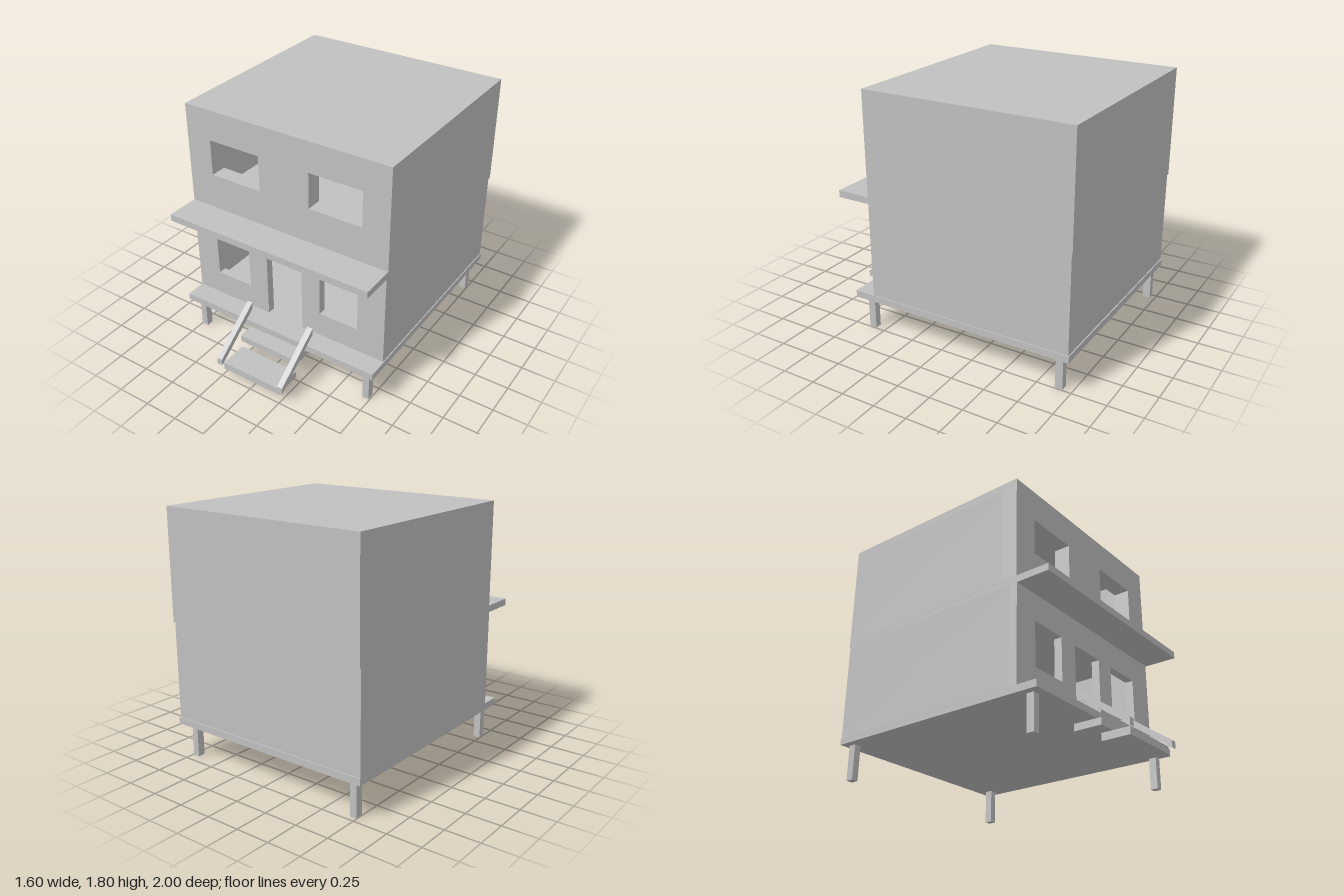
import * as THREE from 'three';

export function createModel() {
  const house = new THREE.Group();
  house.name = 'stiltHouse';
  const grey = new THREE.MeshStandardMaterial({ color: 0xc0c0c0 });
  grey.name = 'plain grey';

  const add = (name, geometry) => {
    const mesh = new THREE.Mesh(geometry, grey);
    mesh.name = name;
    house.add(mesh);
    return mesh;
  };

  // Box given by its limits on each axis
  const block = (name, x0, x1, y0, y1, z0, z1) =>
    add(name, new THREE.BoxGeometry(x1 - x0, y1 - y0, z1 - z0))
      .position.set((x0 + x1) / 2, (y0 + y1) / 2, (z0 + z1) / 2);

  const rectangle = (target, x0, x1, y0, y1) =>
    target.moveTo(x0, y0).lineTo(x1, y0).lineTo(x1, y1).lineTo(x0, y1).closePath();

  const extrude = (shape, depth) =>
    new THREE.ExtrudeGeometry(shape, { depth, bevelEnabled: false });

  // Hollow storey: pierced front wall, two side walls and a back wall
  const storey = (name, x0, x1, y0, y1, z0, z1, frontShape, frontDepth) => {
    const t = 0.06;
    add(name + 'FrontWall', extrude(frontShape, frontDepth)).position.z = z1 - frontDepth;
    block(name + 'RightWall', x0, x0 + t, y0, y1, z0, z1 - frontDepth);
    block(name + 'LeftWall', x1 - t, x1, y0, y1, z0, z1 - frontDepth);
    block(name + 'BackWall', x0 + t, x1 - t, y0, y1, z0, z0 + t);
  };

  // Floors and flat roof
  block('porchFloor', -0.8, 0.8, 0.25, 0.3, -1, 0.69);
  block('awningFloor', -0.8, 0.8, 1.0, 1.05, -1, 0.785);
  block('roof', -0.8, 0.8, 1.75, 1.8, -1, 0.535);

  // Lower storey: the doorway is a notch in the outline
  const lower = new THREE.Shape();
  [[-0.8, 0.3], [-0.165, 0.3], [-0.165, 0.805], [0.13, 0.805], [0.13, 0.3],
    [0.793, 0.3], [0.793, 1.0], [-0.8, 1.0]]
    .forEach(([x, y], i) => (i ? lower.lineTo(x, y) : lower.moveTo(x, y)));
  lower.closePath();
  lower.holes.push(
    rectangle(new THREE.Path(), -0.61, -0.32, 0.483, 0.805),
    rectangle(new THREE.Path(), 0.28, 0.583, 0.487, 0.805));
  storey('lower', -0.8, 0.793, 0.3, 1.0, -0.992, 0.54, lower, 0.06);

  // Upper storey with two wide windows
  const upper = rectangle(new THREE.Shape(), -0.8, 0.8, 1.05, 1.75);
  for (const x of [-0.605, 0.197]) {
    upper.holes.push(rectangle(new THREE.Path(), x, x + 0.404, 1.31, 1.575));
  }
  storey('upper', -0.8, 0.8, 1.05, 1.75, -1, 0.535, upper, 0.12);

  // Stilts
  for (const [x, z, name] of [[-0.748, 0.575, 'frontRightLeg'], [0.692, 0.575, 'frontLeftLeg'],
    [-0.748, -0.963, 'backRightLeg'], [0.692, -0.935, 'backLeftLeg']]) {
    block(name, x, x + 0.05, 0, 0.25, z, z + 0.055);
  }

  // Steps
  block('upperStep', -0.245, 0.23, 0.16, 0.21, 0.57, 0.775);
  block('lowerStep', -0.245, 0.23, 0.052, 0.105, 0.77, 0.977);

  // Sloping handrails, drawn in profile (u = -z) and turned to face sideways
  const rail = new THREE.Shape();
  rail.moveTo(-1, 0.097).lineTo(-0.63, 0.365).lineTo(-0.63, 0.416).lineTo(-1, 0.148).closePath();
  for (const [x, name] of [[-0.285, 'rightHandrail'], [0.238, 'leftHandrail']]) {
    const mesh = add(name, extrude(rail, 0.043));
    mesh.rotation.y = Math.PI / 2;
    mesh.position.x = x;
  }

  return house;
}
